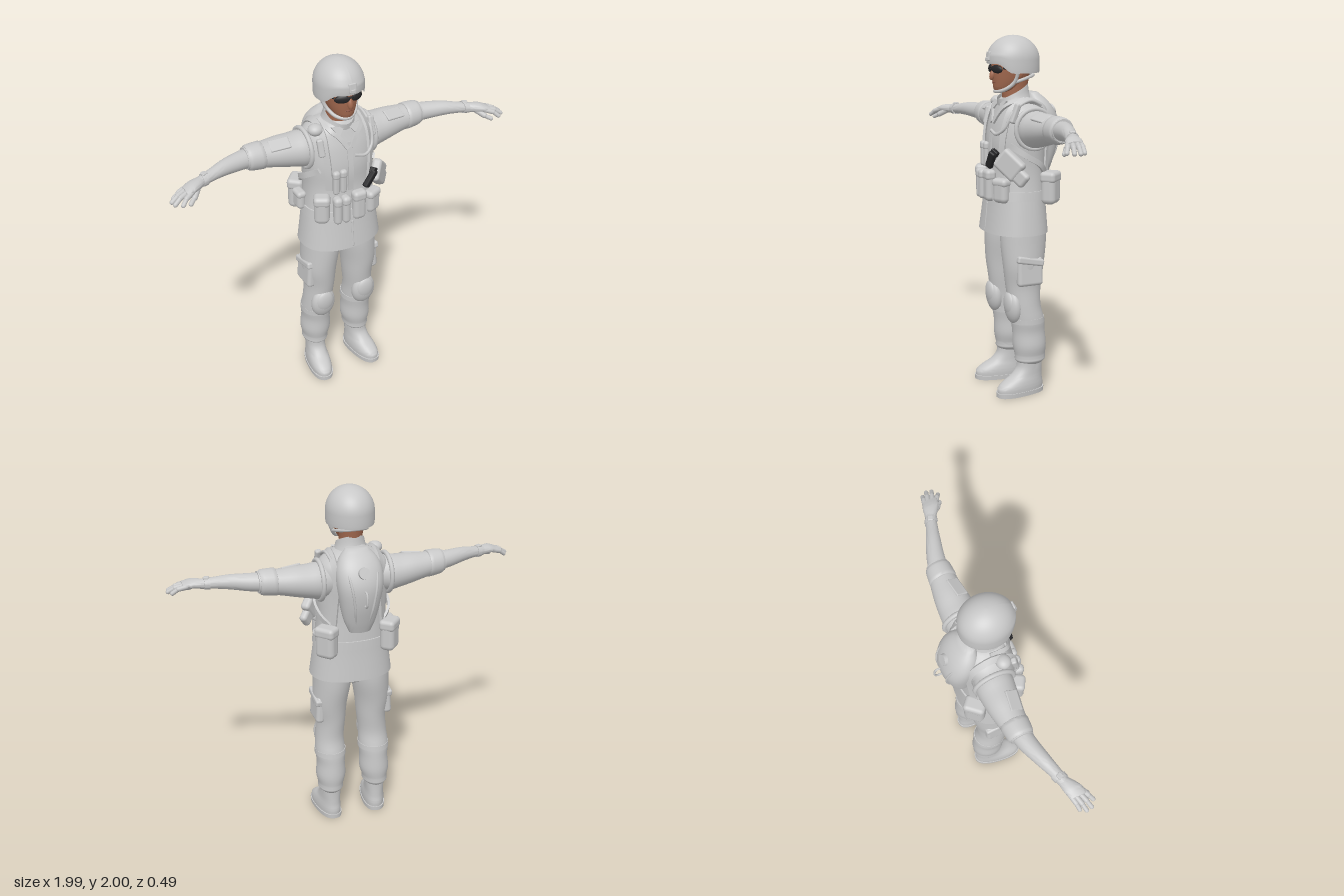
import * as THREE from 'three';
import { toCreasedNormals } from 'three/addons/utils/BufferGeometryUtils.js';
import { RoundedBoxGeometry } from 'three/addons/geometries/RoundedBoxGeometry.js';

const V = (x, y, z) => new THREE.Vector3(x, y, z);

// Surface through a list of point rings; optional end caps
function skin(rings, caps = true, crease = 0.9) {
  const n = rings[0].length, pos = [], idx = [];
  for (const r of rings) for (const p of r) pos.push(p.x, p.y, p.z);
  for (let j = 0; j < rings.length - 1; j++) for (let i = 0; i < n; i++) {
    const a = j * n + i, b = j * n + (i + 1) % n;
    idx.push(a, a + n, b, b, a + n, b + n);
  }
  if (caps) [0, rings.length - 1].forEach((j, end) => {
    const c = rings[j].reduce((s, p) => s.add(p), V(0, 0, 0)).divideScalar(n);
    const ci = pos.length / 3;
    pos.push(c.x, c.y, c.z);
    for (let i = 0; i < n; i++) {
      const a = j * n + i, b = j * n + (i + 1) % n;
      idx.push(ci, end ? b : a, end ? a : b);
    }
  });
  const g = new THREE.BufferGeometry();
  g.setAttribute('position', new THREE.Float32BufferAttribute(pos, 3));
  g.setIndex(idx);
  return toCreasedNormals(g, crease);
}

const sampler = rows => {
  const it = new THREE.CubicInterpolant(rows.map((_, i) => i), rows.flat(), rows[0].length);
  return t => Array.from(it.evaluate(t));
};
const pw = (v, e) => Math.sign(v) * Math.abs(v) ** e;

// Smooth loft, rows ascending: [x, y, z, across, depth, tilt]; axis 'y' (across x) or 'x' (across y)
function loft(rows, { axis = 'y', n = 2, seg = 28, sub = 4, caps = true } = {}) {
  const at = sampler(rows), rings = [], steps = (rows.length - 1) * sub;
  for (let k = 0; k <= steps; k++) {
    const [x, y, z, a, b, tilt = 0] = at(k / sub), ring = [];
    for (let i = 0; i < seg; i++) {
      const t = i / seg * Math.PI * 2, c = pw(Math.cos(t), 2 / n), s = pw(Math.sin(t), 2 / n);
      ring.push(axis === 'y' ? V(x + a * c, y + tilt * s, z + b * s) : V(x, y + a * s, z + b * c));
    }
    rings.push(ring);
  }
  return skin(rings, caps);
}

// Flat webbing following a path, facing away from the chest
function strap(points, w = 0.035, t = 0.014) {
  const curve = new THREE.CatmullRomCurve3(points), rings = [];
  for (let k = 0; k <= 24; k++) {
    const p = curve.getPoint(k / 24), tan = curve.getTangent(k / 24);
    const out = p.clone().sub(V(0, Math.min(p.y, 1.5), 0.02));
    out.addScaledVector(tan, -out.dot(tan)).normalize();
    const side = tan.clone().cross(out);
    rings.push([[1, 1], [-1, 1], [-1, -1], [1, -1]].map(([u, v]) =>
      p.clone().addScaledVector(side, u * w / 2).addScaledVector(out, v * t / 2)));
  }
  return skin(rings, true, 0.6);
}

const tube = (points, r) => new THREE.TubeGeometry(new THREE.CatmullRomCurve3(points), 32, r, 8);
const place = (g, x, y, z, rx = 0, ry = 0, rz = 0) =>
  g.applyMatrix4(new THREE.Matrix4().makeRotationFromEuler(new THREE.Euler(rx, ry, rz, 'YXZ')).setPosition(x, y, z));
const box = (w, h, d, r = 0.015) => new RoundedBoxGeometry(w, h, d, 3, Math.min(r, w / 2.1, h / 2.1, d / 2.1));
const ball = (a, b, c) => new THREE.SphereGeometry(1, 24, 16).scale(a, b, c);
function capsule(a, b, r) {
  const d = b.clone().sub(a), g = new THREE.CapsuleGeometry(r, d.length(), 5, 10);
  g.applyQuaternion(new THREE.Quaternion().setFromUnitVectors(V(0, 1, 0), d.normalize()));
  const m = a.clone().add(b).multiplyScalar(0.5);
  return g.translate(m.x, m.y, m.z);
}
function mirrored(geo) {
  const g = geo.clone().scale(-1, 1, 1);
  const idx = g.index ? Array.from(g.index.array) : Array.from({ length: g.attributes.position.count }, (_, i) => i);
  for (let i = 0; i < idx.length; i += 3) [idx[i], idx[i + 1]] = [idx[i + 1], idx[i]];
  g.setIndex(idx);
  return g;
}

export function createModel() {
  const root = new THREE.Group();
  root.name = 'soldier';
  const mat = (name, color) => Object.assign(new THREE.MeshStandardMaterial({ color }), { name });
  const grey = mat('uniform grey', 0xc8c8c8), skinTone = mat('skin', 0xa2694f);
  const lip = mat('lips', 0x8a5343), black = mat('black', 0x262628);
  const cloth = mat('open cloth grey', 0xc8c8c8);
  cloth.side = THREE.DoubleSide;
  const add = (name, geo, m = grey) => {
    const mesh = new THREE.Mesh(geo, m);
    mesh.name = name;
    root.add(mesh);
  };
  const pair = (name, geo, m = grey) => {
    add('left ' + name, geo, m);
    add('right ' + name, mirrored(geo), m);
  };

  // Jacket and vest body
  const torso = [[0, 0.925, 0.045, 0.235, 0.175], [0, 1.08, 0.04, 0.215, 0.16], [0, 1.2, 0.035, 0.2, 0.152],
    [0, 1.3, 0.03, 0.195, 0.145], [0, 1.42, 0.03, 0.203, 0.148], [0, 1.52, 0.02, 0.207, 0.142],
    [0, 1.59, 0.013, 0.19, 0.127], [0, 1.635, 0.018, 0.14, 0.106], [0, 1.662, 0.026, 0.085, 0.078]];
  add('jacket', loft(torso, { n: 2.3, seg: 48 }));
  add('jacket placket', place(box(0.012, 0.16, 0.008), 0, 1.01, 0.209, -0.1));
  const torsoAt = sampler(torso);
  // Point on the torso, front (+1) or back (-1)
  const on = (x, y, side, off = 0.008) => {
    let k = 0;
    while (k < 8 && torsoAt(k)[1] < y) k += 0.02;
    const [, , cz, rx, rz] = torsoAt(k);
    return V(x, y, cz + side * (off + rz * Math.max(0, 1 - (Math.abs(x) / rx) ** 2.3) ** (1 / 2.3)));
  };
  add('belt', loft([[0, 1.115, 0.04, 0.217, 0.168], [0, 1.165, 0.037, 0.211, 0.163]], { n: 2.3, seg: 48 }));
  pair('vest armhole', place(new THREE.TorusGeometry(0.108, 0.013, 10, 32), 0.193, 1.505, 0.003, 0, Math.PI / 2));
  pair('shoulder strap', strap([on(0.12, 1.3, 1), on(0.125, 1.42, 1), on(0.13, 1.54, 1), on(0.13, 1.61, 1),
    V(0.13, 1.655, 0.015), on(0.13, 1.61, -1), on(0.125, 1.52, -1), on(0.13, 1.4, -1), on(0.14, 1.25, -1)]));
  pair('side strap', strap([on(0.165, 1.42, 1), V(0.206, 1.36, 0.05), V(0.2, 1.31, -0.03), on(0.14, 1.24, -1)], 0.03));
  add('vest closure', strap([on(0, 1.28, 1, 0.002), on(0, 1.4, 1, 0.002), on(0, 1.56, 1, 0.002)], 0.03, 0.012));
  pair('vest neckline', strap([on(0.01, 1.53, 1), on(0.05, 1.59, 1), on(0.09, 1.63, 1), V(0.105, 1.66, 0.02)], 0.022, 0.012));

  // Collar, low at the throat and high at the nape
  add('collar', loft([[0, 1.62, 0.03, 0.11, 0.1, 0], [0, 1.665, 0.043, 0.086, 0.09, -0.025], [0, 1.7, 0.048, 0.076, 0.087, -0.045]],
    { caps: false }), cloth);
  const lapel = new THREE.Shape([new THREE.Vector2(0.01, 1.64), new THREE.Vector2(0.05, 1.59), new THREE.Vector2(0.085, 1.65)]);
  pair('lapel', new THREE.ExtrudeGeometry(lapel, { depth: 0.01, bevelEnabled: false }).translate(0, -1.62, 0).rotateX(-0.45).translate(0, 1.62, 0.125));

  // Head and face
  add('neck', loft([[0, 1.6, 0.03, 0.062, 0.065], [0, 1.7, 0.035, 0.062, 0.072], [0, 1.8, 0.03, 0.07, 0.08]]), skinTone);
  add('head', loft([[0, 1.695, 0.1, 0.03, 0.042], [0, 1.71, 0.085, 0.053, 0.07], [0, 1.745, 0.07, 0.07, 0.09],
    [0, 1.79, 0.058, 0.081, 0.107], [0, 1.84, 0.052, 0.088, 0.113], [0, 1.9, 0.05, 0.08, 0.105]], { n: 2.15 }), skinTone);
  add('nose', place(ball(0.015, 0.03, 0.016), 0, 1.788, 0.166, -0.25), skinTone);
  pair('ear', place(ball(0.012, 0.032, 0.02), 0.085, 1.8, 0.04), skinTone);
  add('mouth', place(ball(0.023, 0.005, 0.006), 0, 1.747, 0.157), lip);
  pair('glasses lens', place(ball(0.041, 0.022, 0.013), 0.043, 1.82, 0.158, 0, 0.42, -0.06), black);
  add('glasses bridge', place(box(0.035, 0.01, 0.012), 0, 1.828, 0.173), black);
  pair('glasses arm', capsule(V(0.08, 1.826, 0.132), V(0.092, 1.822, 0.05), 0.006), black);

  // Helmet with raised front rim, mount and chin strap
  const profile = [[0.985, -0.53], [1, -0.4], [1, -0.2]].map(([x, y]) => new THREE.Vector2(x, y));
  for (let i = 0; i <= 14; i++) profile.push(new THREE.Vector2(Math.cos(i / 28 * Math.PI), Math.sin(i / 28 * Math.PI)));
  const dome = new THREE.LatheGeometry(profile, 44), dp = dome.attributes.position;
  for (let i = 0; i < dp.count; i++) {
    const y = dp.getY(i), rise = THREE.MathUtils.smoothstep(dp.getZ(i), 0.35, 0.85);
    dp.setY(i, y + 0.38 * rise * THREE.MathUtils.clamp((0.3 - y) / 0.8, 0, 1));
  }
  dome.scale(0.131, 0.132, 0.148).translate(0, 1.868, 0.043).computeVertexNormals();
  add('helmet', dome, cloth);
  add('helmet mount', place(box(0.042, 0.05, 0.02, 0.006), 0, 1.888, 0.186, -0.15));
  add('helmet mount clip', place(box(0.026, 0.02, 0.016, 0.004), 0, 1.872, 0.195, -0.1));
  add('chin strap', tube([V(0.118, 1.82, 0.06), V(0.09, 1.75, 0.075), V(0.055, 1.708, 0.12), V(0, 1.698, 0.148),
    V(-0.055, 1.708, 0.12), V(-0.09, 1.75, 0.075), V(-0.118, 1.82, 0.06)], 0.01));
  add('nape strap', tube([V(0.09, 1.75, 0.07), V(0.082, 1.77, 0), V(0.05, 1.785, -0.055), V(-0.05, 1.785, -0.055),
    V(-0.082, 1.77, 0), V(-0.09, 1.75, 0.07)], 0.009));

  // Arms: sleeve, rolled cuff, forearm
  const alongX = { axis: 'x' };
  pair('sleeve', loft([[0.13, 1.505, 0, 0.09, 0.09], [0.2, 1.503, 0, 0.1, 0.102], [0.26, 1.507, -0.003, 0.092, 0.098],
    [0.33, 1.515, -0.005, 0.084, 0.09], [0.4, 1.521, -0.005, 0.073, 0.079], [0.46, 1.526, -0.002, 0.066, 0.07]], alongX));
  pair('sleeve pocket', place(box(0.11, 0.014, 0.07, 0.006), 0.345, 1.582, 0.038, 0.48, 0.1, -0.08));
  pair('rolled cuff', loft([[0.432, 1.526, -0.002, 0.068, 0.07], [0.44, 1.526, -0.002, 0.075, 0.076], [0.505, 1.53, 0, 0.07, 0.07],
    [0.522, 1.531, 0, 0.062, 0.062]], alongX));
  pair('cuff fold', loft([[0.5, 1.53, 0, 0.062, 0.064], [0.53, 1.532, 0.002, 0.059, 0.06]], alongX));
  pair('forearm', loft([[0.5, 1.531, 0, 0.052, 0.054], [0.58, 1.534, 0.016, 0.048, 0.05], [0.67, 1.537, 0.043, 0.04, 0.042],
    [0.75, 1.532, 0.07, 0.031, 0.034], [0.82, 1.526, 0.092, 0.026, 0.03]], alongX));
  pair('wrist band', loft([[0.772, 1.53, 0.078, 0.034, 0.038], [0.8, 1.528, 0.086, 0.032, 0.037]], alongX));
  pair('watch', place(box(0.03, 0.014, 0.03, 0.005), 0.786, 1.56, 0.08, 0, -0.4));

  // Hands: palm, four fingers, thumb
  pair('palm', loft([[0.8, 1.526, 0.088, 0.026, 0.03], [0.835, 1.527, 0.104, 0.026, 0.04], [0.87, 1.526, 0.117, 0.023, 0.047],
    [0.91, 1.518, 0.128, 0.015, 0.044]], alongX));
  [[0.9, 0.095, 0.965, 0.108], [0.908, 0.117, 0.983, 0.137], [0.905, 0.14, 0.977, 0.167], [0.893, 0.157, 0.945, 0.191]].forEach(([x, z, tx, tz], i) => {
    const knuckle = V((x + tx) / 2, 1.507, (z + tz) / 2);
    pair(`finger ${i + 1} base`, capsule(V(x - 0.015, 1.52, z - 0.005), knuckle, 0.014));
    pair(`finger ${i + 1} tip`, capsule(knuckle, V(tx, 1.484, tz), 0.012));
  });
  pair('thumb base', capsule(V(0.835, 1.518, 0.118), V(0.872, 1.49, 0.158), 0.016));
  pair('thumb tip', capsule(V(0.872, 1.49, 0.158), V(0.902, 1.474, 0.182), 0.012));

  // Trousers, cargo pockets, knee pads
  add('trouser seat', loft([[0, 0.875, 0.015, 0.05, 0.06], [0, 0.905, 0.025, 0.13, 0.11], [0, 0.96, 0.03, 0.2, 0.135]]));
  pair('trouser leg', loft([[0.138, 0.175, 0.003, 0.056, 0.07], [0.138, 0.195, 0.003, 0.073, 0.088], [0.137, 0.22, 0.003, 0.073, 0.088],
    [0.135, 0.28, 0.006, 0.086, 0.096], [0.133, 0.36, 0.01, 0.082, 0.094], [0.134, 0.43, 0.018, 0.088, 0.096],
    [0.132, 0.52, 0.035, 0.083, 0.092], [0.124, 0.63, 0.04, 0.085, 0.102], [0.127, 0.74, 0.04, 0.098, 0.116],
    [0.115, 0.86, 0.035, 0.106, 0.13], [0.11, 0.96, 0.032, 0.108, 0.133]]));
  pair('cargo pocket', place(box(0.05, 0.16, 0.15, 0.02), 0.2, 0.72, 0.035, 0, 0, 0.06));
  pair('cargo pocket flap', place(box(0.055, 0.04, 0.16, 0.012), 0.203, 0.78, 0.035, -0.2, 0, 0.06));
  pair('knee pad', place(ball(0.073, 0.098, 0.045), 0.133, 0.51, 0.105, 0.05));
  pair('knee pad shell', place(ball(0.056, 0.072, 0.028), 0.133, 0.525, 0.126, 0.05));
  pair('knee strap', loft([[0.133, 0.415, 0.017, 0.091, 0.099], [0.133, 0.445, 0.02, 0.09, 0.098]]));

  // Boots, toes turned out
  const boot = (name, rows, n) => pair(name, place(loft(rows, { n, seg: 32 }), 0.138, 0, 0, 0, 0.14));
  boot('boot', [[0, 0.015, 0.07, 0.062, 0.142], [0, 0.05, 0.068, 0.064, 0.142], [0, 0.08, 0.052, 0.061, 0.121],
    [0, 0.11, 0.027, 0.056, 0.094], [0, 0.15, 0.01, 0.055, 0.076], [0, 0.2, 0.006, 0.056, 0.073]], 2.3);
  boot('boot sole', [[0, 0, 0.07, 0.065, 0.147], [0, 0.025, 0.07, 0.067, 0.148]], 2.5);

  // Belt pouches: name, x, y, z, width, height, depth, turn
  const pouch = (name, x, y, z, w, h, d, turn) => {
    add(name, place(box(w, h, d, 0.03), x, y, z, 0, turn));
    add(name + ' flap', place(box(w + 0.006, h * 0.35, d + 0.006, 0.022), x, y + h * 0.33, z, 0, turn));
  };
  [['right round pouch', -0.165, 1.195, 0.16, 0.085, 0.165, 0.075, -0.5], ['right magazine pouch', -0.09, 1.185, 0.2, 0.045, 0.165, 0.055, -0.15],
    ['inner magazine pouch', -0.043, 1.185, 0.205, 0.045, 0.165, 0.055, 0], ['centre pouch', 0.038, 1.19, 0.205, 0.076, 0.175, 0.055, 0],
    ['left front pouch', 0.138, 1.172, 0.175, 0.095, 0.135, 0.06, 0.45], ['right hip pouch', -0.218, 1.19, 0.0, 0.08, 0.11, 0.05, -1.57],
    ['left canteen', 0.182, 1.178, -0.1, 0.115, 0.18, 0.085, 2.3], ['right canteen', -0.182, 1.178, -0.1, 0.115, 0.18, 0.085, -2.3]]
    .forEach(p => pouch(...p));
  for (const x of [-0.09, -0.047]) pouch('upright magazine', x, 1.35, 0.185, 0.036, 0.14, 0.03, 0);

  // Holster and pistol grip
  const turned = (g, x, y, z) => place(place(g, x, y, z), 0.175, 1.335, 0.16, 0, 0.75, -0.7);
  add('holster body', turned(box(0.15, 0.125, 0.055, 0.02), 0.025, 0, 0));
  add('holster muzzle', turned(box(0.08, 0.085, 0.045, 0.02), 0.118, -0.01, 0));
  add('pistol grip', place(box(0.042, 0.105, 0.032, 0.01), 0.098, 1.34, 0.218, 0.25, 0.4, -0.55), black);
  add('pistol slide', place(box(0.045, 0.035, 0.03, 0.006), 0.122, 1.378, 0.208, 0, 0.6, -0.6), black);

  // Hydration pack with cap and drag loop
  add('hydration pack', loft([[0, 1.23, -0.12, 0.06, 0.035], [0, 1.3, -0.12, 0.09, 0.06], [0, 1.4, -0.12, 0.112, 0.088],
    [0, 1.5, -0.12, 0.128, 0.096], [0, 1.58, -0.105, 0.128, 0.086], [0, 1.64, -0.085, 0.105, 0.066], [0, 1.69, -0.06, 0.06, 0.035]], { n: 2.2, seg: 36 }));
  add('pack cap', place(new THREE.CylinderGeometry(0.03, 0.033, 0.025, 24), 0, 1.585, -0.19, -1.2));
  add('drag loop', tube([V(0, 1.49, -0.21), V(0, 1.485, -0.238), V(0, 1.43, -0.248), V(0, 1.41, -0.235), V(0, 1.405, -0.205)], 0.006));
  pair('pack seam', tube([0.2, 0.8, 1.5, 2.2, 3, 4, 5].map((k, i) =>
    V(0.03 + 0.009 * i, 1.25 + 0.06 * i, [-0.148, -0.173, -0.196, -0.205, -0.206, -0.187, -0.145][i])), 0.007));

  // Drinking hose, shoulder radio
  add('drinking hose', tube([V(0.14, 1.63, -0.06), V(0.15, 1.655, 0.01), V(0.155, 1.6, 0.11), on(0.14, 1.51, 1, 0.02), on(0.09, 1.475, 1, 0.02), on(0.02, 1.49, 1, 0.015)], 0.009));
  add('shoulder lamp', place(ball(0.042, 0.032, 0.04), -0.152, 1.632, 0.07));
  add('radio', place(box(0.035, 0.1, 0.03, 0.01), -0.155, 1.555, 0.135, -0.2, -0.2, 0.1));
  add('strap clip', place(box(0.035, 0.11, 0.03, 0.01), 0.165, 1.59, 0.105, -0.35, 0.2, -0.1));
  return root;
}
